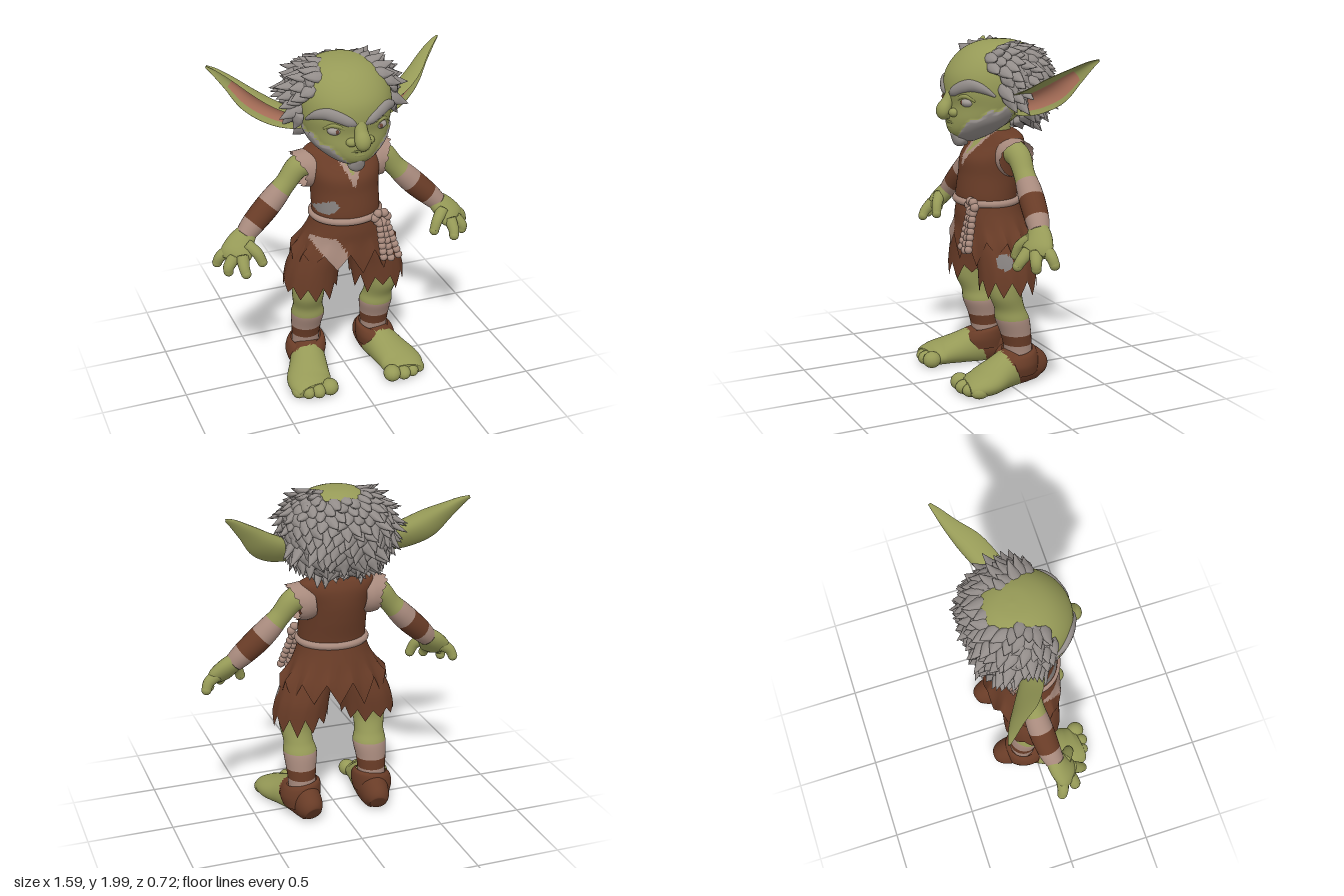
import * as THREE from 'three';
import { mergeGeometries } from 'three/addons/utils/BufferGeometryUtils.js';

const mat = (name, color, side = THREE.FrontSide) => {
  const m = new THREE.MeshStandardMaterial({ color, side });
  m.name = name;
  return m;
};
const V3 = (x, y, z) => new THREE.Vector3(x, y, z);
const rand = (k) => { const s = Math.sin(k * 127.1 + 11.7) * 43758.5453; return s - Math.floor(s); };

// Catmull-Rom through rows of numbers
function sample(rows, t) {
  const f = Math.min(t * (rows.length - 1), rows.length - 1.000001), i = Math.floor(f), u = f - i;
  const at = (k) => rows[Math.max(0, Math.min(rows.length - 1, k))];
  const [a, b, c, d] = [at(i - 1), at(i), at(i + 1), at(i + 2)];
  return b.map((q, k) => q + 0.5 * u * (c[k] - a[k] + u * (2 * a[k] - 5 * q + 4 * c[k] - d[k] + u * (3 * (q - c[k]) + d[k] - a[k]))));
}

// Sweeps an oval section along rows of [x, y, z, widthRadius, depthRadius]
function sweep(rows, o = {}) {
  const { n = 24, m = 6, ref = [0, 0, 1], flat, open, warp, paint } = o;
  const section = o.section || ((a) => [Math.cos(a), Math.sin(a)]);
  rows = rows.map((r) => (r.length < 5 ? [...r, r[3]] : r));
  const N = m * (rows.length - 1), pos = [], buckets = [], R = V3(...ref);
  const pt = (t) => V3(...sample(rows, t).slice(0, 3));
  const dy = Math.sign(rows[rows.length - 1][1] - rows[0][1]);
  for (let i = 0; i <= N; i++) {
    const t = i / N, s = sample(rows, t), c = pt(t);
    const T = flat ? V3(0, dy, 0) : pt(Math.min(1, t + 0.01)).sub(pt(Math.max(0, t - 0.01))).normalize();
    const U = T.clone().cross(R).normalize(), V = U.clone().cross(T);
    for (let j = 0; j < n; j++) {
      const a = (j / n) * Math.PI * 2, [p, q] = section(a);
      const v = c.clone().addScaledVector(U, p * Math.max(s[3], 0.001)).addScaledVector(V, q * Math.max(s[4], 0.001));
      if (warp) warp(v, t, a);
      pos.push(v.x, v.y, v.z);
    }
  }
  const P = (k) => V3(pos[3 * k], pos[3 * k + 1], pos[3 * k + 2]);
  const tri = (a, b, c, t, ang) => {
    const k = paint ? paint(P(a).add(P(b)).add(P(c)).divideScalar(3), t, ang) : 0;
    (buckets[k] = buckets[k] || []).push(a, b, c);
  };
  if (!open) pos.push(...rows[0].slice(0, 3), ...rows[rows.length - 1].slice(0, 3));
  const e0 = (N + 1) * n, e1 = e0 + 1;
  for (let j = 0; j < n; j++) {
    const k = (j + 1) % n, ang = ((j + 0.5) / n) * Math.PI * 2;
    for (let i = 0; i < N; i++) {
      const t = (i + 0.5) / N, a = i * n + j, b = i * n + k;
      tri(a, a + n, b, t, ang);
      tri(b, a + n, b + n, t, ang);
    }
    if (!open) { tri(e0, j, k, 0, ang); tri(e1, N * n + k, N * n + j, 1, ang); }
  }
  const g = new THREE.BufferGeometry(), index = [];
  buckets.forEach((b, k) => { if (paint) g.addGroup(index.length, b.length, k); for (const q of b) index.push(q); });
  g.setAttribute('position', new THREE.Float32BufferAttribute(pos, 3));
  g.setIndex(index);
  g.computeVertexNormals();
  return g;
}

// Ragged cloth edge at the end of a sweep
const ragged = (teeth, depth, seed) => (v, t, a) => {
  const k = (a / (Math.PI * 2)) * teeth, f = k - Math.floor(k);
  v.y -= depth * t ** 4 * (0.25 + 0.75 * rand(Math.floor(k) + seed)) * (1 - Math.abs(2 * f - 1));
};

export function createModel() {
  const model = new THREE.Group();
  const skin = mat('green skin', 0x969a57), lips = mat('dark lips', 0x767a44);
  const brown = mat('brown cloth', 0x693c27, THREE.DoubleSide), tan = mat('tan cloth', 0xa88a7d, THREE.DoubleSide);
  const hair = mat('grey hair', 0x938d8a), patch = mat('grey patch', 0x85807e), pink = mat('inner ear', 0xb0745d);
  const eyeWhite = mat('eye', 0xa39c97), iris = mat('iris', 0x6b4436);
  const add = (name, geo, m) => { const o = new THREE.Mesh(geo, m); o.name = name; model.add(o); return o; };
  const ball = (name, m, x, y, z, rx, ry = rx, rz = rx) => add(name, new THREE.SphereGeometry(1, 14, 10).scale(rx, ry, rz).translate(x, y, z), m);

  // Head with a jaw beard
  const beard = (c) => c.z > -0.03 && c.y < 1.435 + Math.max(0, Math.abs(c.x) - 0.03) * 0.85 + 0.012 * Math.sin(c.z * 70);
  add('head', sweep([
    [0, 1.415, 0.13, 0.03, 0.04], [0, 1.45, 0.12, 0.1, 0.11], [0, 1.49, 0.1, 0.155, 0.155], [0, 1.55, 0.06, 0.215, 0.2],
    [0, 1.63, 0.02, 0.25, 0.235], [0, 1.71, 0.01, 0.265, 0.258], [0, 1.8, -0.005, 0.262, 0.26], [0, 1.88, -0.025, 0.235, 0.23],
    [0, 1.94, -0.045, 0.18, 0.18], [0, 1.975, -0.055, 0.1, 0.1], [0, 1.985, -0.06, 0.01, 0.01],
  ], {
    n: 88, m: 7, flat: true, paint: (c) => (beard(c) ? 1 : 0),
    warp: (v) => { if (beard(v)) { v.x *= 1.05; v.z += 0.004; } },
  }), [skin, hair]);
  add('goatee', sweep([[0, 1.495, 0.236, 0.006], [0, 1.46, 0.22, 0.036, 0.026], [0, 1.425, 0.185, 0.05, 0.045], [0, 1.398, 0.145, 0.008]]), hair);
  add('neck', sweep([[0, 1.33, -0.04, 0.1, 0.09], [0, 1.43, -0.04, 0.085], [0, 1.56, -0.03, 0.09]]), skin);
  add('nose', sweep([[0, 1.74, 0.235, 0.02], [0, 1.69, 0.248, 0.034, 0.026], [0, 1.645, 0.266, 0.038, 0.034], [0, 1.607, 0.29, 0.046, 0.04],
    [0, 1.578, 0.288, 0.04, 0.036], [0, 1.558, 0.255, 0.012]]), skin);
  add('mouth', sweep([[-0.12, 1.512, 0.208, 0.004], [-0.06, 1.53, 0.243, 0.007], [0, 1.532, 0.257, 0.008], [0.06, 1.53, 0.243, 0.007],
    [0.12, 1.512, 0.208, 0.004]], { n: 10 }), lips);
  ball('lowerLip', skin, 0, 1.508, 0.24, 0.055, 0.018, 0.02);

  // Hair shell, sunk inside the skull over the face and bald crown
  const isHair = (p) => {
    const front = p.y > 1.82 ? 0.1 : p.y > 1.66 ? 0.05 : -0.07;
    const bald = Math.abs(p.x) < 0.11 + Math.max(0, p.z + 0.03) * 0.5 && p.z > -0.2 && p.y > 1.7;
    return p.z < front && !bald && !(p.y < 1.6 && p.z > -0.1);
  };
  const onHair = (d) => {
    const k = (Math.abs(d.x) ** 2.5 + Math.abs(d.y) ** 2.5 + Math.abs(d.z) ** 2.5) ** -0.4;
    return V3(d.x * k * 0.31, 1.735 + d.y * k * 0.238, -0.06 + d.z * k * 0.255);
  };
  const shell = new THREE.SphereGeometry(1, 72, 54), sp = shell.attributes.position, core = V3(0, 1.72, -0.05);
  for (let i = 0; i < sp.count; i++) {
    const p = onHair(V3().fromBufferAttribute(sp, i).normalize());
    if (!isHair(p)) p.sub(core).multiplyScalar(0.65).add(core);
    sp.setXYZ(i, p.x, p.y, p.z);
  }
  shell.computeVertexNormals();
  add('hair', shell, hair);
  const tufts = [];
  for (let i = 0; i < 400; i++) {
    const y = 1 - (2 * (i + 0.5)) / 400, r = Math.sqrt(1 - y * y), n = V3(Math.cos(i * 2.39996) * r, y, Math.sin(i * 2.39996) * r);
    const p = onHair(n);
    if (!isHair(p)) continue;
    const d = V3((rand(i) - 0.5) * 1.3, -0.7, -0.5).addScaledVector(n, -V3(0, -0.7, -0.5).dot(n)).normalize();
    const go = (a, b, w, h) => [...p.clone().addScaledVector(n, a).addScaledVector(d, b).toArray(), w, h];
    const L = 0.7 + rand(i + 900) * 0.7;
    tufts.push(sweep([go(-0.03, -0.035, 0.03, 0.02), go(-0.008, 0, 0.04, 0.022), go(0.008 * L, 0.03 * L, 0.026, 0.016), go(0.034 * L, 0.06 * L, 0.001, 0.001)],
      { n: 8, m: 2, ref: n.toArray() }));
  }
  add('hairTufts', mergeGeometries(tufts), hair);

  // Torso: sleeveless vest with a V neck and a patch
  add('vest', sweep([
    [0, 1.03, 0.02, 0.195, 0.165], [0, 1.1, 0.025, 0.2, 0.172], [0, 1.22, 0.005, 0.2, 0.175], [0, 1.32, -0.01, 0.212, 0.173],
    [0, 1.4, -0.045, 0.228, 0.135], [0, 1.45, -0.06, 0.212, 0.1], [0, 1.472, -0.06, 0.12, 0.08],
  ], {
    n: 88, m: 9, flat: true, paint: (c) => {
      const w = (c.y - 1.26) * 0.42, x = Math.abs(c.x);
      if (c.z > -0.02 && c.y > 1.26 && x < w) return c.y > 1.33 && x < (c.y - 1.33) * 0.42 ? 2 : 1;
      return c.z > 0 && Math.hypot((c.x + 0.145) / 0.055, (c.y - 1.15 - (c.x + 0.145) * 0.3) / 0.036) < 1 ? 3 : 0;
    },
  }), [brown, tan, skin, patch]);

  // Ragged flaring skirt with a tan patch
  add('skirt', sweep([[0, 1.08, 0.02, 0.195, 0.17], [0, 1.0, 0.012, 0.22, 0.187], [0, 0.93, 0.0, 0.262, 0.2], [0, 0.865, -0.01, 0.325, 0.225]], {
    n: 104, m: 7, flat: true, open: true, warp: ragged(13, 0.15, 4),
    paint: (c) => (c.z > 0.05 && Math.abs(c.x + 0.13 + (c.y - 0.88) * 0.6) < 0.07 && c.y < 0.965 ? 1 : 0),
  }), [brown, tan]);

  // Rope belt, knot and hanging strands
  const loop = [...Array(24)].map((_, i) => V3(0.198 * Math.cos(i * Math.PI / 12), 1.07, 0.022 + 0.174 * Math.sin(i * Math.PI / 12)));
  add('ropeBelt', new THREE.TubeGeometry(new THREE.CatmullRomCurve3(loop, true), 72, 0.021, 10, true), tan);
  for (let i = 0; i < 6; i++) ball('ropeKnot', tan, 0.155 + 0.038 * Math.cos(i * 1.047), 1.065 + 0.03 * Math.sin(i * 1.047), 0.19, 0.026);
  for (let s = 0; s < 3; s++) {
    for (let i = 0; i < 7; i++) ball('ropeStrand', tan, 0.165 + (s - 1) * (0.022 + i * 0.004) + i * 0.005, 1.03 - i * (0.034 - Math.abs(s - 1) * 0.002), 0.198 + i * 0.009, 0.023);
  }

  for (const s of [1, -1]) {
    const side = s > 0 ? 'left' : 'right';
    const part = (name, rows, m, o = {}) => add(side + name, sweep(rows.map(([x, ...r]) => [x * s, ...r]),
      { ...o, ref: o.ref ? [o.ref[0] * s, o.ref[1], o.ref[2]] : undefined }), m);

    // Face
    part('Eyebrow', [[0.022, 1.69, 0.256, 0.01, 0.008], [0.06, 1.71, 0.253, 0.028, 0.022], [0.115, 1.738, 0.232, 0.034, 0.024],
      [0.17, 1.752, 0.2, 0.034, 0.024], [0.22, 1.735, 0.15, 0.026, 0.022], [0.256, 1.695, 0.09, 0.006, 0.006]], hair, { n: 16 });
    ball(side + 'Eye', eyeWhite, s * 0.13, 1.655, 0.2, 0.044, 0.028, 0.04);
    ball(side + 'Iris', iris, s * 0.128, 1.655, 0.236, 0.011, 0.012, 0.006);
    part('Eyelid', [[0.075, 1.655, 0.238, 0.008], [0.11, 1.684, 0.232, 0.014], [0.15, 1.69, 0.212, 0.014], [0.185, 1.665, 0.178, 0.008]], skin, { n: 12 });
    ball(side + 'Nostril', skin, s * 0.05, 1.59, 0.25, 0.034, 0.026, 0.03);

    // Cupped pointed ear, pink in the lower hollow
    part('Ear', [[0.22, 1.655, -0.04, 0.06, 0.04], [0.3, 1.668, -0.06, 0.072, 0.045], [0.39, 1.702, -0.105, 0.082, 0.05],
      [0.49, 1.762, -0.165, 0.082, 0.045], [0.58, 1.84, -0.23, 0.05, 0.03], [0.65, 1.895, -0.272, 0.026, 0.018], [0.7, 1.924, -0.3, 0.008, 0.006]], [skin, pink], {
      n: 44, m: 7, ref: [0.5, -0.4, 0.6],
      section: (a) => [Math.cos(a), Math.cos(a) ** 2 + Math.sin(a) * (Math.sin(a) > 0 ? -0.2 : 1)],
      paint: (c, t, a) => (Math.sin(a) > 0 && Math.abs(Math.cos(a) * s - 0.2) < 0.6 && t > 0.16 && t < 0.66 ? 1 : 0),
    });

    // Arm with wraps, sleeve and hand
    part('Arm', [[0.17, 1.37, -0.05, 0.075], [0.26, 1.345, -0.055, 0.068], [0.335, 1.26, -0.05, 0.06], [0.4, 1.19, -0.045, 0.069],
      [0.47, 1.12, -0.035, 0.072], [0.55, 1.045, -0.02, 0.066], [0.6, 0.995, -0.005, 0.056]], [skin, tan, brown],
    { m: 8, paint: (c, t) => (t < 0.41 ? 0 : t < 0.6 || t > 0.82 ? 1 : 2) });
    part('Sleeve', [[0.15, 1.34, -0.05, 0.105, 0.105], [0.195, 1.335, -0.05, 0.112, 0.11], [0.235, 1.335, -0.05, 0.104, 0.104]], tan, {
      n: 48, open: true,
      warp: (v, t, a) => { v.x += s * t ** 3 * (0.02 * rand(Math.floor(a / 0.39)) * Math.abs(Math.sin(a * 8)) + 0.6 * Math.max(0, v.y - 1.35)); },
    });
    part('Palm', [[0.58, 1.015, -0.01, 0.055, 0.048], [0.63, 0.965, 0.015, 0.08, 0.052], [0.67, 0.915, 0.045, 0.092, 0.048], [0.69, 0.88, 0.06, 0.07, 0.03]],
      skin, { ref: [0.5, 0.4, 0.8] });
    [[[0.61, 0.965, 0.05], [0.56, 0.92, 0.09], [0.535, 0.865, 0.105]], [[0.645, 0.91, 0.085], [0.65, 0.865, 0.13], [0.645, 0.833, 0.15]],
      [[0.685, 0.905, 0.06], [0.725, 0.86, 0.08], [0.728, 0.83, 0.08]], [[0.7, 0.925, 0.01], [0.75, 0.89, 0.0], [0.768, 0.85, -0.01]]].forEach(([a, b, c], i) => {
      part(i ? 'Finger' : 'Thumb', [[...a, 0.038], [...b, 0.032], [...c, 0.028]], skin, { n: 14 });
      ball(side + 'Fingertip', skin, s * c[0], c[1], c[2], 0.029);
    });

    // Ragged shorts leg
    part('Shorts', [[0.09, 1.0, 0, 0.1, 0.14], [0.145, 0.86, 0, 0.14, 0.16], [0.19, 0.74, -0.01, 0.155, 0.17], [0.21, 0.645, -0.01, 0.16, 0.17]], [brown, patch], {
      n: 88, m: 7, flat: true, open: true, warp: ragged(11, 0.11, s > 0 ? 7 : 31),
      paint: (c) => (s > 0 && c.x > 0.2 && c.z > 0 && Math.hypot(c.z - 0.06, c.y - 0.76) < 0.045 ? 1 : 0),
    });

    // Leg with wraps
    part('Leg', [[0.19, 0.8, 0, 0.11], [0.225, 0.66, 0.015, 0.102], [0.232, 0.55, 0.015, 0.095], [0.225, 0.46, -0.015, 0.088], [0.22, 0.39, -0.035, 0.1],
      [0.222, 0.3, -0.058, 0.09], [0.222, 0.2, -0.072, 0.082], [0.222, 0.1, -0.075, 0.085]], [skin, tan, brown], {
      n: 28, m: 8, flat: true, paint: (c) => (c.y > 0.4 ? 0 : c.y > 0.3 || c.y < 0.235 ? 1 : 2),
    });

    // Foot in an open-toed heel boot
    part('Foot', [[0.205, 0.06, -0.235, 0.05, 0.05], [0.21, 0.08, -0.2, 0.075, 0.09], [0.215, 0.1, -0.12, 0.09, 0.12], [0.228, 0.1, -0.03, 0.1, 0.12],
      [0.26, 0.08, 0.08, 0.115, 0.095], [0.292, 0.06, 0.18, 0.13, 0.075], [0.295, 0.05, 0.25, 0.122, 0.06], [0.29, 0.045, 0.29, 0.1, 0.042]], [skin, brown], {
      n: 40, m: 8, ref: [0, 1, 0], warp: (v) => { v.y = Math.max(0.004, v.y); }, paint: (c) => (c.z < -0.06 + c.y * 0.5 ? 1 : 0),
    });
    part('BootCuff', [[0.222, 0.205, -0.068, 0.09, 0.092], [0.224, 0.19, -0.062, 0.112, 0.118], [0.228, 0.14, -0.055, 0.122, 0.135], [0.225, 0.08, -0.06, 0.11, 0.13]],
      brown, { n: 40, flat: true, open: true, warp: (v, t) => { v.y += (1 - t) * 0.15 * (-0.06 - v.z) - (v.x * s - 0.22) * 0.15; } });
    [[0.2, 0.292, 0.05, 0.052], [0.272, 0.295, 0.042, 0.043], [0.332, 0.28, 0.04, 0.04], [0.385, 0.25, 0.037, 0.038]].forEach(([x, z, ry, rx]) =>
      ball(side + 'Toe', skin, s * x, ry, z, rx, ry, 0.055));
  }
  return model;
}
